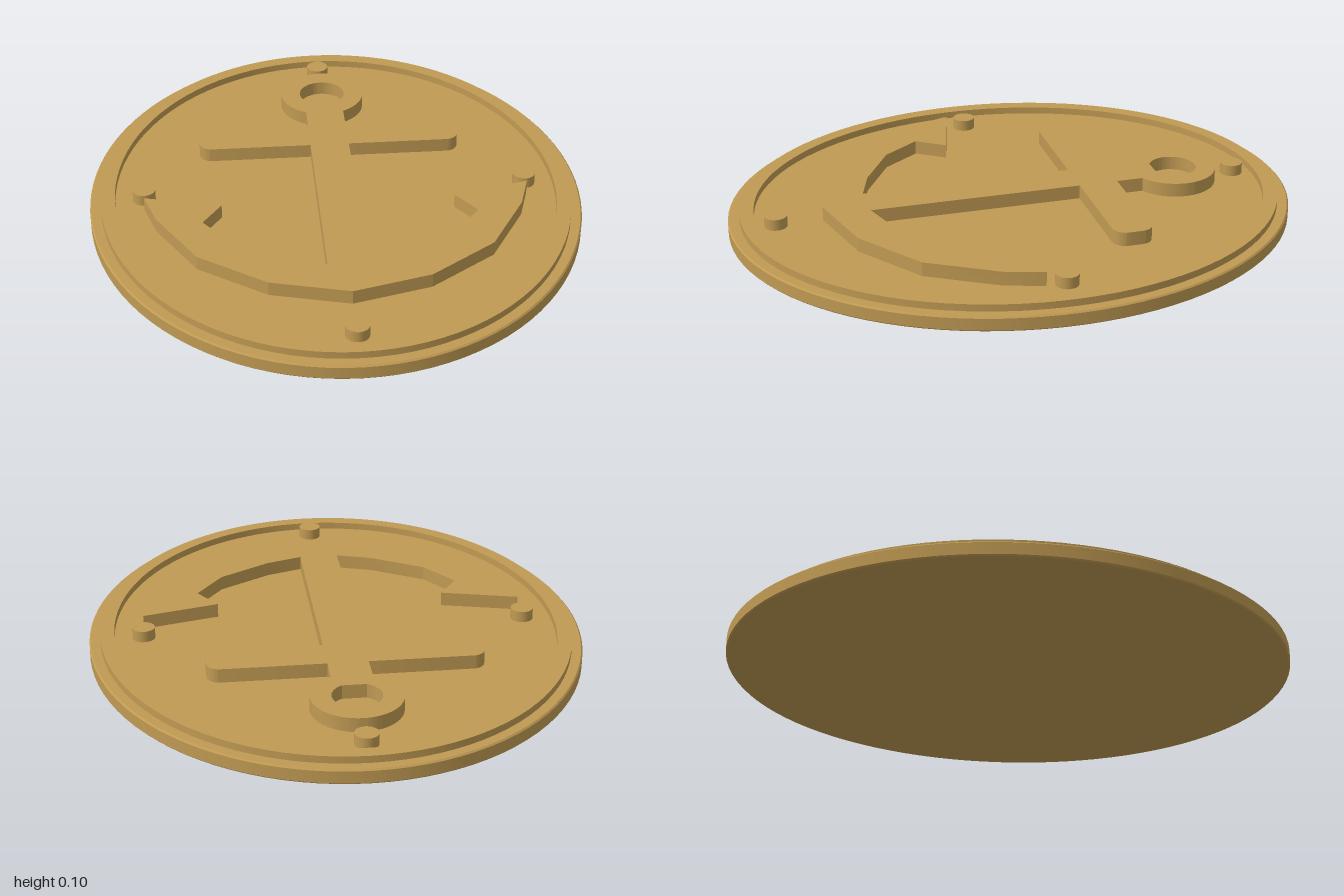
import * as THREE from 'three';
import { toCreasedNormals } from 'three/addons/utils/BufferGeometryUtils.js';

// Shapes are drawn with y pointing to the back (-z), then laid flat.
function extrudeUp(shape, y0, y1, bevel = 0) {
  const g = new THREE.ExtrudeGeometry(shape, {
    depth: y1 - y0 - 2 * bevel, curveSegments: 48,
    bevelEnabled: bevel > 0, bevelSize: bevel, bevelThickness: bevel,
    bevelOffset: -bevel, bevelSegments: 1,
  });
  g.rotateX(-Math.PI / 2).translate(0, y0 + bevel, 0);
  return toCreasedNormals(g, 0.25);
}

const ellipse = (path, rx, ry) => path.absellipse(0, 0, rx, ry, 0, Math.PI * 2, false, 0);

function anchorShape() {
  // right half from the crown to the shank
  const fluke = [[0, -0.676], [0.27, -0.605], [0.5, -0.44], [0.634, -0.206], [0.676, -0.069],
    [0.407, -0.137], [0.475, -0.238], [0.38, -0.37], [0.198, -0.478], [0.07, -0.52]];
  const w = 0.07, bar = 0.475, lo = 0.235, hi = 0.375, r = 0.045;
  const ringY = 0.61, ringR = 0.155, holeR = 0.084;
  const s = new THREE.Shape();
  fluke.forEach(([x, y], i) => (i ? s.lineTo(x, y) : s.moveTo(x, y)));
  // right arm of the stock
  s.lineTo(w, lo);
  s.lineTo(bar - r, lo);
  s.absarc(bar - r, lo + r, r, -Math.PI / 2, 0, false);
  s.absarc(bar - r, hi - r, r, 0, Math.PI / 2, false);
  s.lineTo(w, hi);
  // ring
  const a = Math.acos(w / ringR);
  s.absarc(0, ringY, ringR, -a, Math.PI + a, false);
  // left arm of the stock
  s.lineTo(-w, hi);
  s.lineTo(-bar + r, hi);
  s.absarc(-bar + r, hi - r, r, Math.PI / 2, Math.PI, false);
  s.absarc(-bar + r, lo + r, r, Math.PI, Math.PI * 1.5, false);
  s.lineTo(-w, lo);
  // left fluke mirrored
  fluke.slice(1).reverse().forEach(([x, y]) => s.lineTo(-x, y));
  s.closePath();
  // ring eye, flat where the shank ends
  const b = Math.asin(0.073 / holeR);
  const hole = new THREE.Path();
  hole.absarc(0, ringY, holeR, -b, Math.PI + b, false);
  hole.closePath();
  s.holes.push(hole);
  return s;
}

export function createModel() {
  const group = new THREE.Group();
  const brass = new THREE.MeshStandardMaterial({ color: 0xc09a53 });
  brass.name = 'brass';
  const add = (name, geometry) => {
    const m = new THREE.Mesh(geometry, brass);
    m.name = name;
    group.add(m);
    return m;
  };

  // oval plate
  add('basePlate', extrudeUp(ellipse(new THREE.Shape(), 0.868, 1), 0, 0.052, 0.005));

  // raised rim
  const rim = ellipse(new THREE.Shape(), 0.83, 0.96);
  rim.holes.push(ellipse(new THREE.Path(), 0.78, 0.91));
  add('rim', extrudeUp(rim, 0.05, 0.077));

  // anchor relief
  add('anchor', extrudeUp(anchorShape(), 0.05, 0.102));

  // four studs
  const stud = new THREE.CylinderGeometry(0.04, 0.04, 0.042, 32);
  [[0, -0.84], [0, 0.84], [-0.677, 0], [0.677, 0]].forEach(([x, z]) => {
    add('stud', stud).position.set(x, 0.071, z);
  });
  return group;
}
